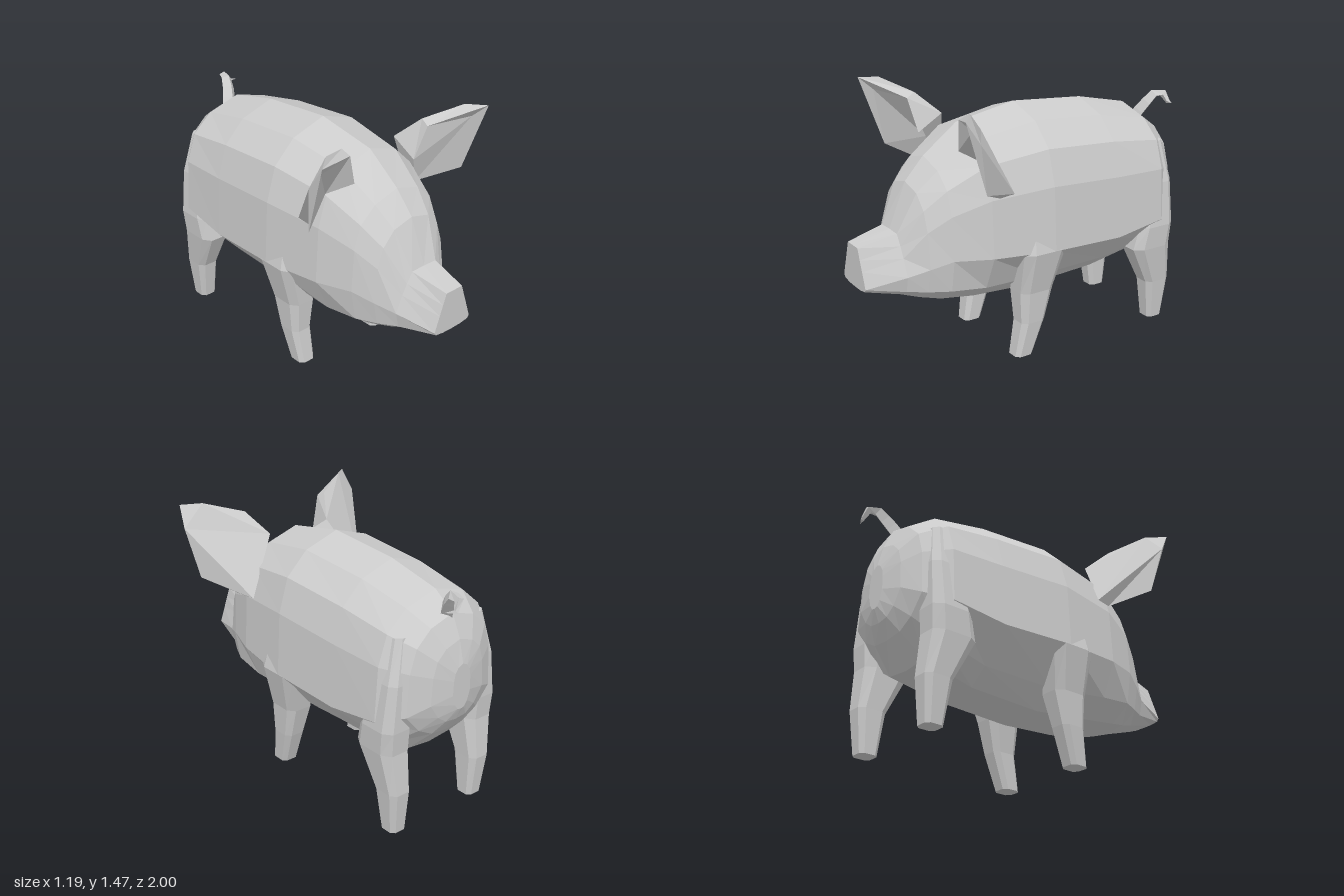
import * as THREE from 'three';

const material = new THREE.MeshStandardMaterial({ color: 0xcccccc, flatShading: true });
const thin = new THREE.MeshStandardMaterial({ color: 0xcccccc, flatShading: true, side: THREE.DoubleSide });

// Mesh from polygons (each a list of [x, y, z]); mirrored ones flip x and winding
function polyMesh(name, polys, mirrored = false, mat = material) {
  const pos = [];
  for (const poly of polys) {
    const p = mirrored ? poly.map(([x, y, z]) => [-x, y, z]).reverse() : poly;
    for (let i = 1; i < p.length - 1; i++) pos.push(...p[0], ...p[i], ...p[i + 1]);
  }
  const geo = new THREE.BufferGeometry();
  geo.setAttribute('position', new THREE.Float32BufferAttribute(pos, 3));
  geo.computeVertexNormals();
  const mesh = new THREE.Mesh(geo, mat);
  mesh.name = name;
  return mesh;
}

// Skin a row of equal-length rings and close both ends
function loft(rings) {
  const n = rings[0].length, polys = [];
  for (let r = 0; r < rings.length - 1; r++) {
    for (let j = 0; j < n; j++) {
      const k = (j + 1) % n, a = rings[r], b = rings[r + 1];
      polys.push([a[j], a[k], b[k], b[j]]);
    }
  }
  polys.push([...rings[0]].reverse(), rings[rings.length - 1]);
  return polys;
}

// Body cross-section: round back blended towards a flat-topped wedge for the
// snout; jowl sets how far out the lower corner sits
const ROUND = [[0, 0], [0.5, 0.09], [0.81, 0.26], [0.95, 0.52], [1, 1]];
const WEDGE = [[0, 0], [0.44, 0], [0.6, 0.29], [0.76, 0.57], [1, 1]];
const { lerp } = THREE.MathUtils;
function bodyRing([z, w, top, yw, bottom, jowl, wedge]) {
  const half = [
    ...ROUND.map(([x, f], i) => [
      w * lerp(x, WEDGE[i][0], wedge),
      lerp(top, yw, lerp(f, WEDGE[i][1], wedge)), z]),
    [w * jowl, lerp(bottom, yw, 0.37), z],
    [w * jowl * 0.55, lerp(bottom, yw, 0.06), z],
    [0, bottom, z],
  ];
  const other = half.slice(1, -1).reverse().map(([x, y, zz]) => [-x, y, zz]);
  return [...half, ...other];
}

// Leg cross-section: a rectangle with cut corners
const C = 0.6;
const OCT = [[C, 1], [1, C], [1, -C], [C, -1], [-C, -1], [-1, -C], [-1, C], [-C, 1]];
const legRing = ([y, x, z, rx, rz]) => OCT.map(([u, v]) => [x + u * rx, y, z + v * rz]);

export function createModel() {
  const pig = new THREE.Group();
  pig.name = 'pig';

  // Snout, head and trunk: z, half width, top, widest height, bottom, jowl, wedge
  const body = [
    [1.0, 0.128, 0.735, 0.53, 0.505, 0.9, 1],
    [0.79, 0.19, 0.78, 0.57, 0.435, 0.9, 0.85],
    [0.69, 0.25, 1.02, 0.61, 0.40, 0.9, 0.15],
    [0.58, 0.305, 1.14, 0.65, 0.37, 0.9, 0],
    [0.38, 0.37, 1.29, 0.64, 0.34, 0.78, 0],
    [0.02, 0.414, 1.355, 0.62, 0.305, 0.6, 0],
    [-0.42, 0.402, 1.32, 0.6, 0.325, 0.6, 0],
    [-0.735, 0.388, 1.25, 0.64, 0.39, 0.7, 0],
    [-0.86, 0.29, 1.16, 0.68, 0.52, 0.7, 0],
    [-0.915, 0.18, 1.04, 0.73, 0.6, 0.7, 0],
    [-0.945, 0.06, 0.92, 0.76, 0.67, 0.7, 0],
  ];
  pig.add(polyMesh('body', loft(body.map(bodyRing))));

  // Legs: y, x, z, half width, half depth
  const frontLeg = [
    [0, 0.275, 0.155, 0.052, 0.055],
    [0.2, 0.282, 0.105, 0.065, 0.075],
    [0.38, 0.275, 0.085, 0.083, 0.105],
    [0.62, 0.33, 0.065, 0.084, 0.135],
    [0.8, 0.3, 0.07, 0.07, 0.1],
  ];
  const rearLeg = [
    [0, 0.28, -0.775, 0.05, 0.052],
    [0.24, 0.288, -0.77, 0.066, 0.082],
    [0.47, 0.297, -0.70, 0.086, 0.13],
    [0.6, 0.3, -0.72, 0.09, 0.12],
    [0.85, 0.28, -0.745, 0.08, 0.09],
    [1.08, 0.23, -0.74, 0.07, 0.06],
  ];

  // Cupped ear: front rim, recessed crease, and the back shell
  const a = [0.21, 1.2, 0.49], b = [0.27, 1.38, 0.52], c = [0.575, 1.455, 0.66];
  const d = [0.545, 1.065, 0.53], e = [0.38, 0.97, 0.35];
  const f = [0.315, 1.14, 0.39], g = [0.525, 1.39, 0.595];
  const A = [0.2, 1.29, 0.35], B = [0.28, 1.405, 0.47], T = [0.48, 1.465, 0.58];
  const D = [0.595, 1.34, 0.59], E = [0.385, 0.98, 0.265];
  const ear = [
    [a, f, g, b], [g, f, e, d], [b, g, c], [g, d, c],
    [a, b, B, A], [b, c, T, B], [c, d, D], [c, D, T], [d, e, E, D],
    [A, B, T], [A, T, D, E],
  ];

  for (const [side, mirrored] of [['left', false], ['right', true]]) {
    pig.add(polyMesh(side + 'FrontLeg', loft(frontLeg.map(legRing)), mirrored));
    pig.add(polyMesh(side + 'RearLeg', loft(rearLeg.map(legRing)), mirrored));
    pig.add(polyMesh(side + 'Ear', ear, mirrored, thin));
  }

  // Curly tail: a four-sided tube that tapers to its tip
  const path = new THREE.CatmullRomCurve3([
    [0, 1.14, -0.82], [0.04, 1.225, -0.87], [0.07, 1.295, -0.94],
    [0.085, 1.275, -0.98], [0.115, 1.235, -0.985], [0.17, 1.24, -0.965],
  ].map((p) => new THREE.Vector3(...p)));
  const tube = new THREE.TubeGeometry(path, 6, 0.042, 4);
  const pos = tube.attributes.position, v = new THREE.Vector3();
  for (let i = 0; i < pos.count; i++) {
    const t = tube.attributes.uv.getX(i), centre = path.getPointAt(t);
    v.fromBufferAttribute(pos, i).sub(centre).multiplyScalar(1 - t * t).add(centre);
    pos.setXYZ(i, v.x, v.y, v.z);
  }
  const tail = new THREE.Mesh(tube.toNonIndexed(), material);
  tail.geometry.computeVertexNormals();
  tail.name = 'tail';
  pig.add(tail);

  return pig;
}
